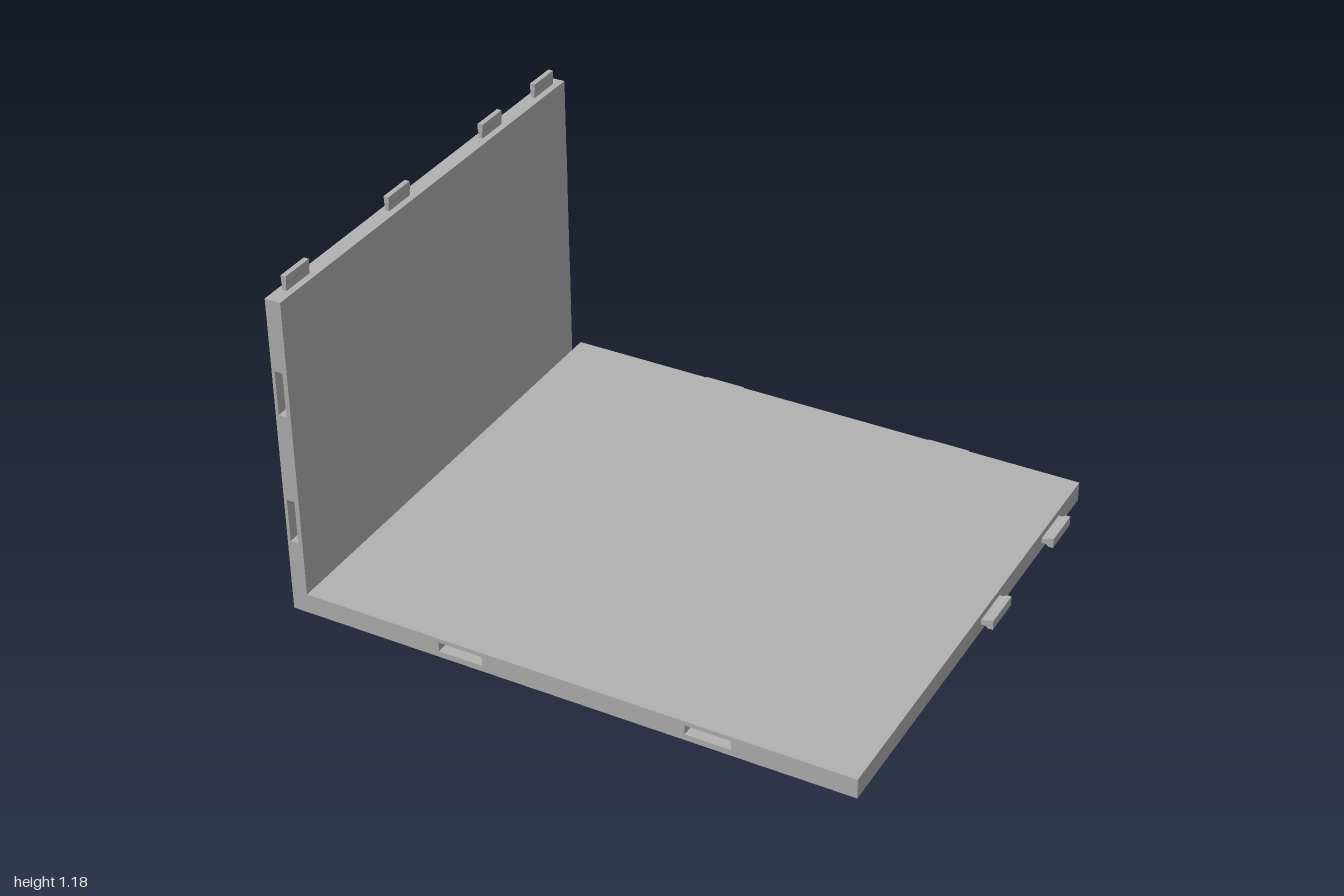
import * as THREE from 'three';

export function createModel() {
  const model = new THREE.Group();
  model.name = 'cornerPanels';
  const grey = new THREE.MeshStandardMaterial({ color: 0xb2b2b2 });
  grey.name = 'plain grey';

  const add = (name, geometry) => {
    const mesh = new THREE.Mesh(geometry, grey);
    mesh.name = name;
    model.add(mesh);
    return mesh;
  };
  const box = (name, x0, x1, y0, y1, z0, z1) =>
    add(name, new THREE.BoxGeometry(x1 - x0, y1 - y0, z1 - z0))
      .position.set((x0 + x1) / 2, (y0 + y1) / 2, (z0 + z1) / 2);

  const FRONT = 0.875, SLOT = 0.04, WALL_IN = -0.945, FLOOR_TOP = 0.07;

  // Panels behind the slotted front strip
  box('floorPanel', WALL_IN, 0.96, 0, FLOOR_TOP, -0.837, FRONT - SLOT);
  box('wallPanel', -1, WALL_IN, 0, 1.13, -0.777, FRONT - SLOT);

  // L-shaped front strip with sockets cut through it
  const strip = new THREE.Shape([
    [-1, 0], [0.96, 0], [0.96, FLOOR_TOP], [WALL_IN, FLOOR_TOP], [WALL_IN, 1.13], [-1, 1.13],
  ].map(p => new THREE.Vector2(...p)));
  const cut = (x, y, w, h) => strip.holes.push(new THREE.Path([
    [-1, -1], [-1, 1], [1, 1], [1, -1],
  ].map(([a, b]) => new THREE.Vector2(x + a * w / 2, y + b * h / 2))));
  for (const x of [-0.383, 0.473]) cut(x, 0.038, 0.155, 0.034);
  for (const y of [0.338, 0.803]) cut(-0.975, y, 0.028, 0.155);
  add('frontSocketStrip', new THREE.ExtrudeGeometry(strip, { depth: SLOT, bevelEnabled: false })
    .translate(0, 0, FRONT - SLOT));

  // Snap tab: pointing along +x, length along z, wider at the head
  const tab = (out, neck, head, length) => {
    const half = [[0, neck], [out * 0.35, neck], [out * 0.6, head], [out, head]];
    const pts = [...half.map(([x, y]) => [x, -y]), ...half.reverse()];
    const shape = new THREE.Shape(pts.map(p => new THREE.Vector2(...p)));
    return new THREE.ExtrudeGeometry(shape, { depth: length, bevelEnabled: false })
      .translate(0, 0, -length / 2);
  };

  for (const z of [-0.093, -0.587])
    add('floorSideTab', tab(0.04, 0.009, 0.017, 0.145)).position.set(0.96, 0.038, z);

  for (const x of [-0.383, 0.473])
    add('floorBackTab', tab(0.038, 0.009, 0.009, 0.148).rotateY(Math.PI / 2))
      .position.set(x, 0.037, -0.837);

  for (const y of [0.338, 0.8])
    add('wallBackTab', tab(0.036, 0.009, 0.009, 0.145).rotateX(Math.PI / 2).rotateY(Math.PI / 2))
      .position.set(-0.975, y, -0.777);

  for (const z of [0.75, 0.2, -0.35, -0.68])
    add('wallTopTab', tab(0.05, 0.007, 0.009, 0.12).rotateZ(Math.PI / 2))
      .position.set(-0.975, 1.13, z);

  return model;
}
